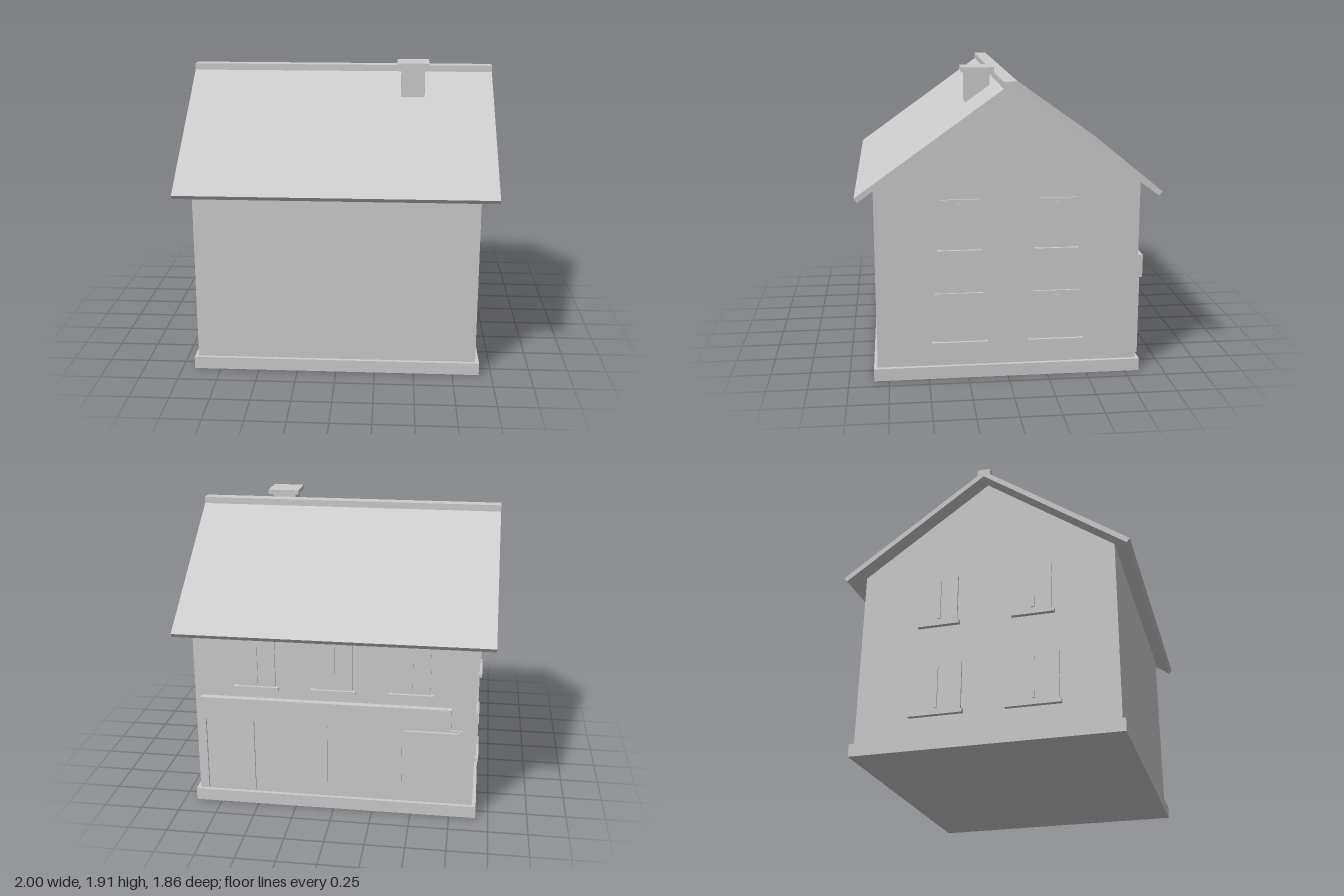
import * as THREE from 'three';

export function createModel() {
  const house = new THREE.Group();
  house.name = 'house';
  const grey = new THREE.MeshStandardMaterial({ color: 0xcccccc });
  grey.name = 'plain grey';

  // Box given by its minimum and maximum on each axis
  function box(name, x0, x1, y0, y1, z0, z1, parent = house) {
    const mesh = new THREE.Mesh(new THREE.BoxGeometry(x1 - x0, y1 - y0, z1 - z0), grey);
    mesh.position.set((x0 + x1) / 2, (y0 + y1) / 2, (z0 + z1) / 2);
    mesh.name = name;
    parent.add(mesh);
    return mesh;
  }

  // Outline in the z-y plane, drawn out along x
  function prism(name, points, length) {
    const shape = new THREE.Shape(points.map(([z, y]) => new THREE.Vector2(z, y)));
    const geo = new THREE.ExtrudeGeometry(shape, { depth: length, bevelEnabled: false });
    geo.translate(0, 0, -length / 2).rotateY(Math.PI / 2);
    const mesh = new THREE.Mesh(geo, grey);
    mesh.name = name;
    house.add(mesh);
  }

  // Plinth, walls with gables, roof and ridge
  box('plinth', -0.92, 0.92, 0, 0.08, -0.843, 0.843);
  prism('walls', [[-0.82, 0.08], [0.82, 0.08], [0.82, 1.235], [0, 1.819], [-0.82, 1.235]], 1.792);
  prism('roof', [
    [-0.91, 1.17], [0, 1.82], [0.91, 1.17], [0.93, 1.196], [0, 1.86], [-0.93, 1.196],
  ], 2);
  box('ridge', -1, 1, 1.825, 1.872, -0.042, 0.042);

  // Chimney
  box('chimneyStack', 0.395, 0.55, 1.655, 1.885, 0.08, 0.235);
  box('chimneyCap', 0.37, 0.577, 1.885, 1.915, 0.055, 0.26);

  // Window on a wall facing local +z, with its foot at the origin
  function windowUnit(width, height, sillWidth) {
    const g = new THREE.Group();
    g.name = 'window';
    box('windowFrame', -width / 2, width / 2, 0, height, -0.01, 0.012, g);
    box('windowMullion', -0.009, 0.009, 0.025, height - 0.025, 0, 0.02, g);
    box('windowSill', -sillWidth / 2, sillWidth / 2, -0.024, 0, -0.01, 0.029, g);
    house.add(g);
    return g;
  }

  // Gable windows, two storeys on both ends
  for (const side of [-1, 1]) {
    for (const z of [-0.303, 0.303]) {
      const upper = windowUnit(0.236, 0.315, 0.27);
      upper.position.set(side * 0.896, 0.836, z);
      upper.rotation.y = side * Math.PI / 2;
      const lower = windowUnit(0.315, 0.315, 0.345);
      lower.position.set(side * 0.896, 0.24, z);
      lower.rotation.y = side * Math.PI / 2;
    }
  }

  // Upper windows over the shop
  for (const x of [-0.49, 0, 0.49]) {
    const w = windowUnit(0.24, 0.315, 0.285);
    w.position.set(x, 0.836, -0.82);
    w.rotation.y = Math.PI;
  }

  // Shop front: fascia, glazing, posts and door
  box('shopFascia', -0.745, 0.855, 0.605, 0.752, -0.862, -0.81);
  box('shopGlazing', -0.43, 0.85, 0.1, 0.595, -0.828, -0.81);
  for (const x of [0.845, 0.53, 0.055, -0.425]) {
    box('shopPost', x - 0.014, x + 0.014, 0.1, 0.597, -0.843, -0.81);
  }
  box('shopDoorFrame', -0.82, -0.43, 0.09, 0.6, -0.832, -0.81);
  box('shopDoor', -0.8, -0.45, 0.105, 0.587, -0.848, -0.81);

  return house;
}
